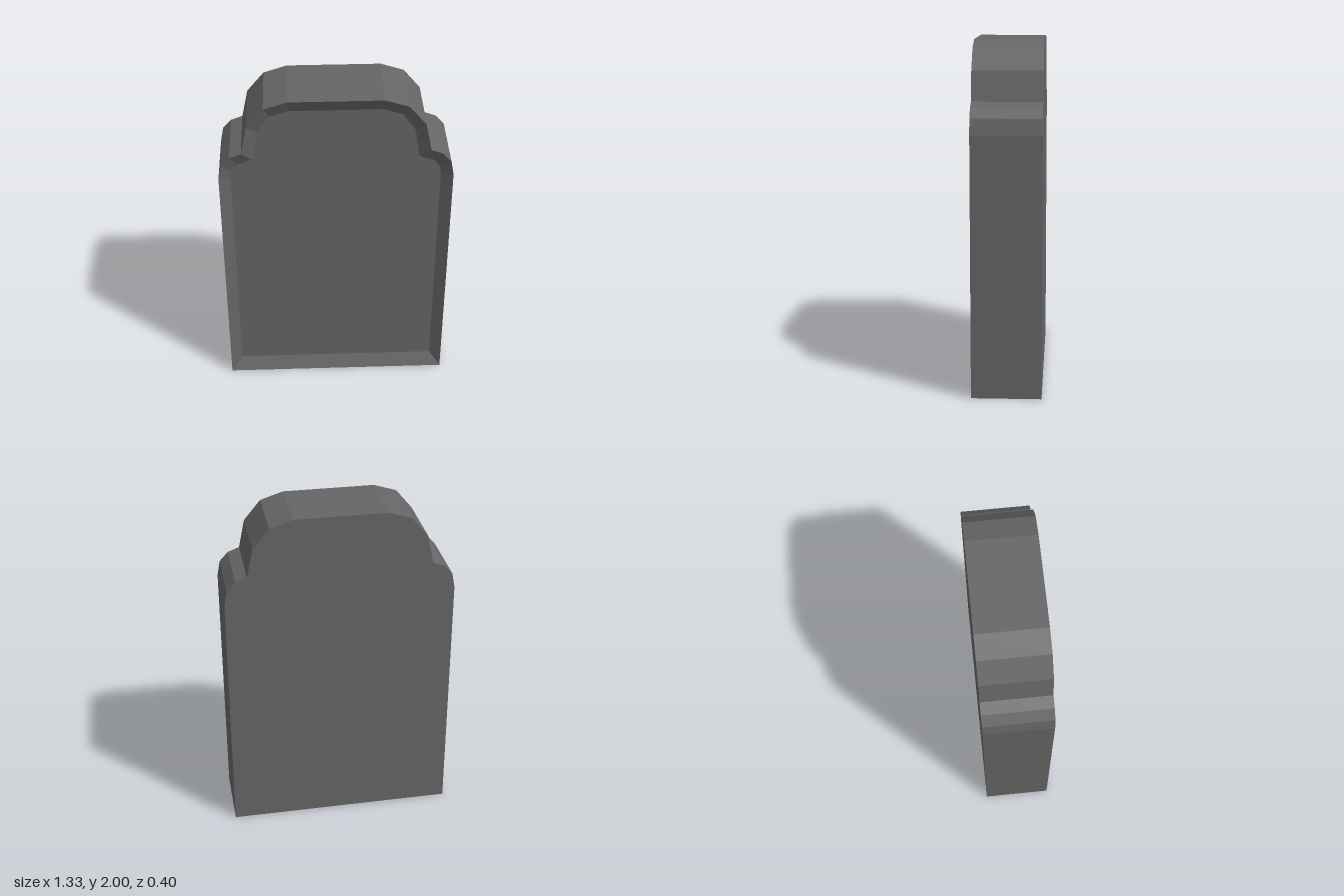
import * as THREE from 'three';

const DEPTH = 0.4, RECESS = 0.04;

// Right half of the outer edge and of the recessed panel, from the foot up
const OUTER = [[0.667, 0], [0.667, 1.5], [0.65, 1.59], [0.6, 1.645],
  [0.533, 1.67], [0.497, 1.84], [0.4, 1.957], [0.267, 2]];
const INNER = [[0.6, 0.085], [0.6, 1.485], [0.59, 1.535], [0.562, 1.573],
  [0.472, 1.606], [0.442, 1.785], [0.368, 1.887], [0.262, 1.92]];

// Mirrors a half profile into a closed counter-clockwise outline
const outline = (half) => [...half, ...half.map(([x, y]) => [-x, y]).reverse()];

// Flat cap filling an outline
function cap(points) {
  return new THREE.ShapeGeometry(new THREE.Shape(points.map(([x, y]) => new THREE.Vector2(x, y))));
}

// Band of flat faces joining two outlines at different depths
function band(a, za, b, zb) {
  const pos = [];
  a.forEach((p, i) => {
    const j = (i + 1) % a.length;
    const p0 = [...p, za], p1 = [...a[j], za], q0 = [...b[i], zb], q1 = [...b[j], zb];
    pos.push(...p0, ...p1, ...q1, ...p0, ...q1, ...q0);
  });
  const geo = new THREE.BufferGeometry();
  geo.setAttribute('position', new THREE.Float32BufferAttribute(pos, 3));
  geo.computeVertexNormals();
  return geo;
}

export function createModel() {
  const group = new THREE.Group();
  group.name = 'gravestone';
  const stone = new THREE.MeshStandardMaterial({ color: 0x666666 });
  stone.name = 'darkGreyStone';
  const add = (name, geo) => {
    const mesh = new THREE.Mesh(geo, stone);
    mesh.name = name;
    group.add(mesh);
  };

  const outer = outline(OUTER), inner = outline(INNER);
  const front = DEPTH / 2, back = -DEPTH / 2;

  // Slab edges, including the underside
  add('slabSides', band(outer, back, outer, front));
  // Plain back face
  add('slabBack', cap(outer).rotateY(Math.PI).translate(0, 0, back));
  // Bevel sloping inwards to the sunken front panel
  add('frontBevel', band(outer, front, inner, front - RECESS));
  add('frontPanel', cap(inner).translate(0, 0, front - RECESS));

  return group;
}
